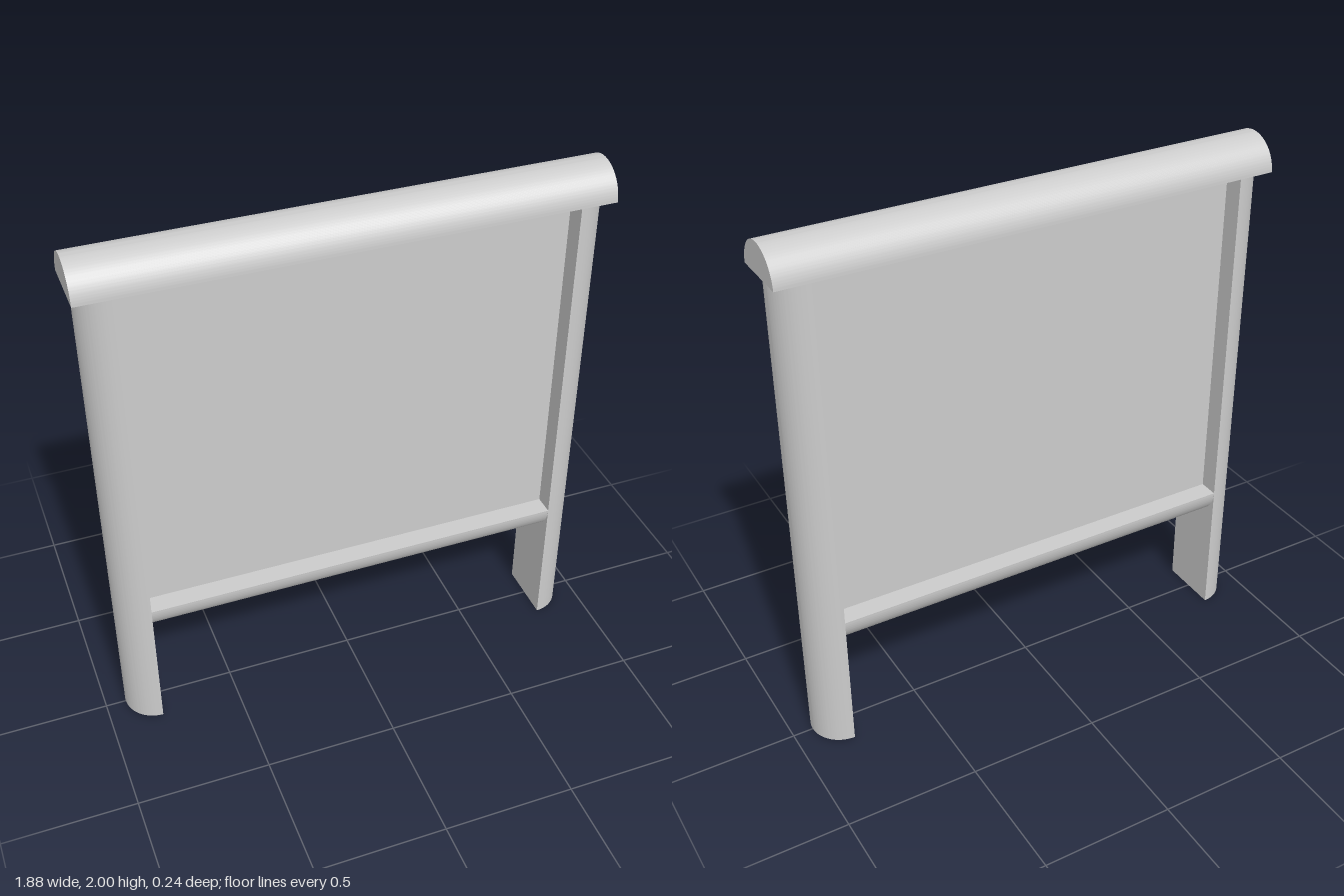
import * as THREE from 'three';
import { toCreasedNormals } from 'three/addons/utils/BufferGeometryUtils.js';

const R = 0.119;        // radius of all half-round timbers
const INNER = 0.804;    // inner face of the posts
const CAP_Y = 2 - R;    // underside of the cap
const RAIL_Y = 0.546;   // flat top of the bottom rail

// Half-round bar centred on z, dome towards +y, flat face on y = 0
function halfRound(length) {
  const shape = new THREE.Shape();
  shape.absarc(0, 0, R, 0, Math.PI, false);
  shape.closePath();
  const geo = new THREE.ExtrudeGeometry(shape, { depth: length, bevelEnabled: false, curveSegments: 40 });
  geo.translate(0, 0, -length / 2);
  return toCreasedNormals(geo, Math.PI / 6);
}

export function createModel() {
  const group = new THREE.Group();
  const material = new THREE.MeshStandardMaterial({ color: 0xcccccc });
  const add = (name, geo, x, y, z) => {
    const mesh = new THREE.Mesh(geo, material);
    mesh.name = name;
    mesh.position.set(x, y, z);
    group.add(mesh);
  };

  // Posts, flat faces towards the panel
  for (const side of [1, -1]) {
    const post = halfRound(CAP_Y).rotateZ(-side * Math.PI / 2).rotateX(-Math.PI / 2);
    add(side > 0 ? 'leftPost' : 'rightPost', post, side * INNER, CAP_Y / 2, 0);
  }

  // Cap with its dome up, overhanging the posts
  add('topCap', halfRound(1.88).rotateY(Math.PI / 2), 0, CAP_Y, 0);

  // Bottom rail with its dome down, between the posts
  add('bottomRail', halfRound(INNER * 2).rotateZ(Math.PI).rotateY(Math.PI / 2), 0, RAIL_Y, 0);

  // Recessed board
  const height = CAP_Y - RAIL_Y;
  add('panel', new THREE.BoxGeometry(INNER * 2, height, 0.085), 0, RAIL_Y + height / 2, 0);

  return group;
}
